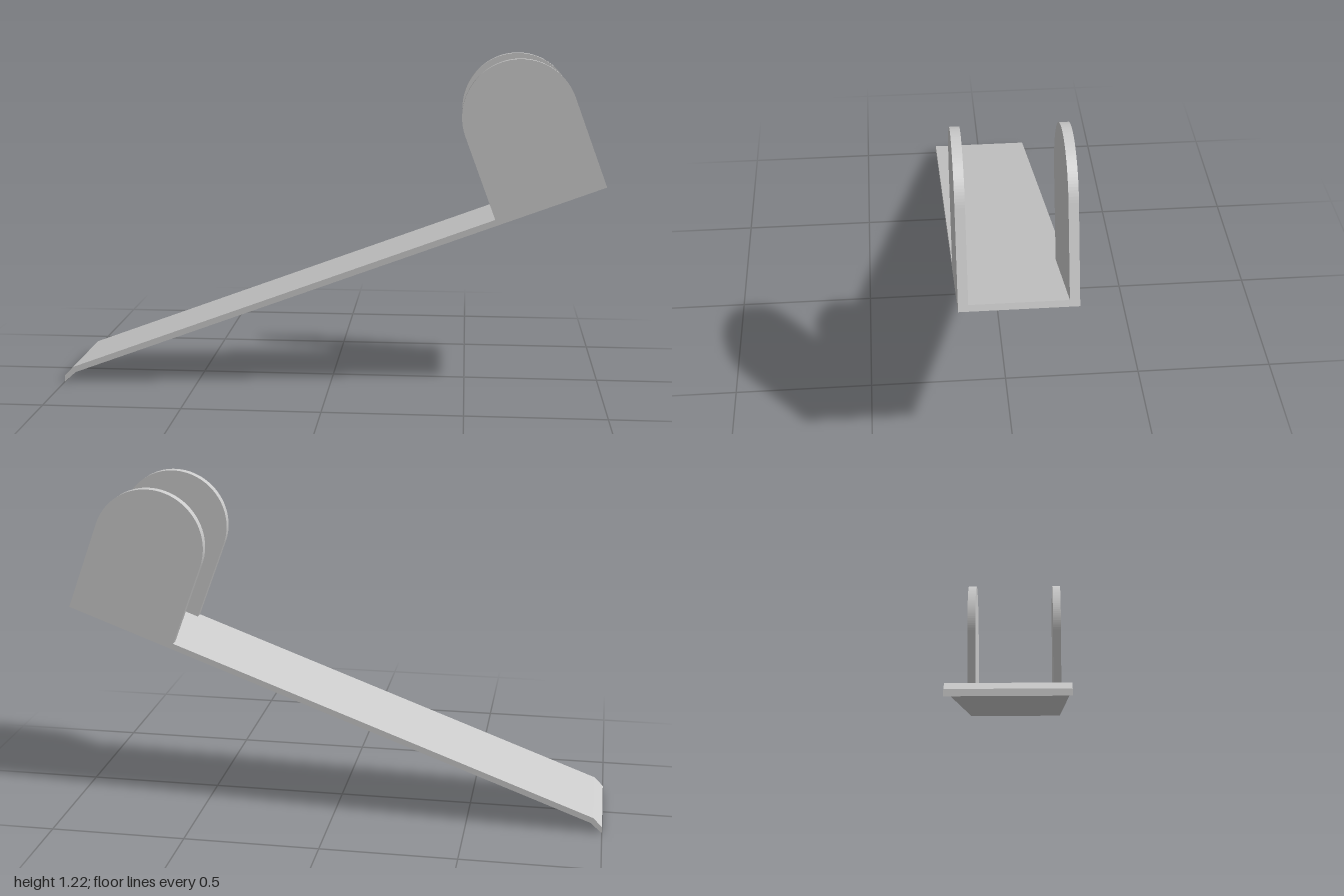
import * as THREE from 'three';

const HALF_WIDTH = 0.195;
const EAR_THICKNESS = 0.033;
const EAR_RADIUS = 0.207;
const SLOPE = Math.atan2(0.729, 1.958);

function extrude(name, shape, depth, z, material) {
  const geometry = new THREE.ExtrudeGeometry(shape, { depth, bevelEnabled: false, curveSegments: 32 });
  const mesh = new THREE.Mesh(geometry, material);
  mesh.name = name;
  mesh.position.z = z;
  return mesh;
}

export function createModel() {
  const group = new THREE.Group();
  group.name = 'rampBracket';
  const material = new THREE.MeshStandardMaterial({ color: 0xcccccc });

  // Sloping plate with a bent lip at its low end, drawn as a side profile
  const plate = new THREE.Shape([
    [-1, 0], [-0.958, 0.038], [1, 0.767], [0.992, 0.788], [-0.967, 0.058], [-1, 0.024],
  ].map(([x, y]) => new THREE.Vector2(x, y)));
  group.add(extrude('plate', plate, HALF_WIDTH * 2, -HALF_WIDTH, material));

  // Round-topped ears, square to the plate at its high end
  const ear = new THREE.Shape();
  ear.moveTo(-2 * EAR_RADIUS, 0);
  ear.lineTo(0, 0);
  ear.lineTo(0, 0.343);
  ear.absarc(-EAR_RADIUS, 0.343, EAR_RADIUS, 0, Math.PI, false);
  ear.closePath();

  const ears = new THREE.Group();
  ears.name = 'ears';
  ears.position.set(1, 0.767, 0);
  ears.rotation.z = SLOPE;
  ears.add(extrude('frontEar', ear, EAR_THICKNESS, HALF_WIDTH - EAR_THICKNESS, material));
  ears.add(extrude('backEar', ear, EAR_THICKNESS, -HALF_WIDTH, material));
  group.add(ears);

  return group;
}
